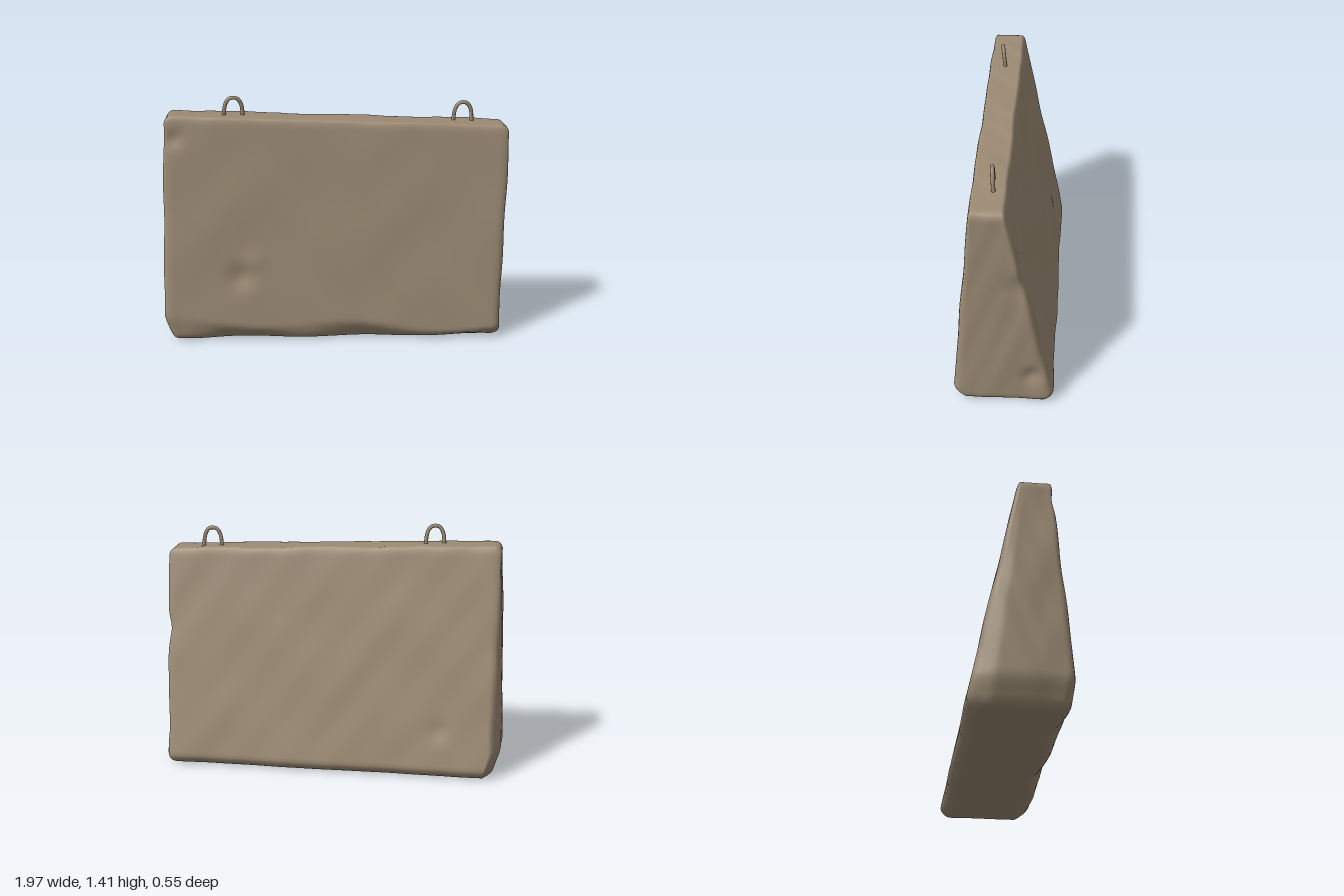
import * as THREE from 'three';
import { mergeVertices } from 'three/addons/utils/BufferGeometryUtils.js';

const mix = THREE.MathUtils.lerp;
const smooth = THREE.MathUtils.smoothstep;

// Gentle lumps made of a few sine waves, roughly -1..1
function lump(a, b) {
  return 0.45 * Math.sin(a * 7.3 + 1.7 * Math.sin(b * 4.1)) +
    0.35 * Math.sin(b * 11.2 + 2.1 * Math.sin(a * 6.3 + 1)) +
    0.2 * Math.sin(a * 23 + b * 17);
}

// Soft round falloff for dents and chips
function spot(a, b, ca, cb, r) {
  return Math.exp(-((a - ca) ** 2 + (b - cb) ** 2) / (r * r));
}

// Height of the sloping top edge
const topAt = (x) => 1.287 - 0.035 * x;

// Tapered slab: a rounded, subdivided box that is warped and weathered
function slabGeometry() {
  const H = 1.28, hx = 0.98, hz = 0.27, r = 0.045;
  const box = new THREE.BoxGeometry(2 * hx, H, 2 * hz, 96, 64, 30);
  box.deleteAttribute('uv');
  box.deleteAttribute('normal');
  const geo = mergeVertices(box);
  const pos = geo.attributes.position;
  const p = new THREE.Vector3(), core = new THREE.Vector3();
  const limit = new THREE.Vector3(hx - r, H / 2 - r, hz - r);
  const lower = limit.clone().negate();
  for (let i = 0; i < pos.count; i++) {
    p.fromBufferAttribute(pos, i);
    core.copy(p).clamp(lower, limit);
    p.sub(core).setLength(r).add(core);
    const t = p.y / H + 0.5, u = p.x / hx, v = p.z / hz;

    // Taper towards the top, with leaning ends
    let x = mix(mix(-0.985, 0.968, (u + 1) / 2), mix(-0.938, 0.99, (u + 1) / 2), t);
    let y = mix(0.006, topAt(x), t);
    let z = mix(mix(-0.283, 0.278, (v + 1) / 2), mix(-0.014, 0.172, (v + 1) / 2), t);

    // Worn lower edges and corners
    const frontHeight = 0.11 - 0.04 * x + 0.03 * Math.sin(x * 6 + 1);
    const front = smooth(v, 0.5, 1), back = smooth(-v, 0.5, 1);
    z -= front * 0.045 * (1 - smooth(y, 0, frontHeight)) * (1 + 0.4 * Math.sin(x * 9));
    z += back * 0.035 * (1 - smooth(y, 0, 0.07));
    x += 0.05 * smooth(-u, 0.8, 1) * (1 - smooth(y, 0, 0.18));
    x += 0.045 * smooth(-u, 0.9, 1) * back * (1 - t);

    // Uneven faces, dents and chips
    z += 0.005 * lump(x, y) * v;
    x += 0.008 * lump(z * 2 + 3, y) * smooth(Math.abs(u), 0.8, 1) * (u < 0 ? 0.7 : -0.7);
    y += 0.004 * lump(x * 1.5, z * 2) * smooth(t, 0.8, 1);
    z -= front * (0.022 * spot(x, y, -0.53, 0.39, 0.07) - 0.008 * spot(x, y, -0.45, 0.48, 0.06));
    z -= front * 0.018 * spot(x, y, -0.89, 1.19, 0.05);
    z += back * 0.012 * spot(x, y, -0.62, 0.28, 0.06);
    x -= smooth(u, 0.85, 1) * (0.02 * spot(z, y, -0.15, 0.19, 0.05) + 0.015 * spot(z, y, -0.08, 0.8, 0.07));
    pos.setXYZ(i, x, Math.max(y, 0), z);
  }
  geo.computeVertexNormals();
  return geo;
}

// Lifting loop: a bent rod with both feet sunk in the top
function liftingLoop(material, x, z, height, lean, twist) {
  const w = 0.052;
  const points = [
    [-w, -0.03], [-w, 0.01], [-w * 0.86, height * 0.6], [-w * 0.5, height * 0.92], [0, height],
    [w * 0.5, height * 0.92], [w * 0.86, height * 0.6], [w, 0.01], [w, -0.03],
  ].map(([a, b]) => new THREE.Vector3(a, b, lean * b));
  const curve = new THREE.CatmullRomCurve3(points);
  const loop = new THREE.Mesh(new THREE.TubeGeometry(curve, 32, 0.011, 8), material);
  loop.name = 'liftingLoop';
  loop.position.set(x, topAt(x), z);
  loop.rotation.y = twist;
  return loop;
}

export function createModel() {
  const concrete = new THREE.MeshStandardMaterial({ color: 0x9c8b74 });
  concrete.name = 'concrete';

  const group = new THREE.Group();
  group.name = 'concreteBarrier';

  const slab = new THREE.Mesh(slabGeometry(), concrete);
  slab.name = 'slab';
  group.add(slab);

  group.add(liftingLoop(concrete, -0.557, 0.088, 0.1, 0.1, 0.12));
  group.add(liftingLoop(concrete, 0.737, 0.06, 0.105, 0.05, 0.06));
  return group;
}
